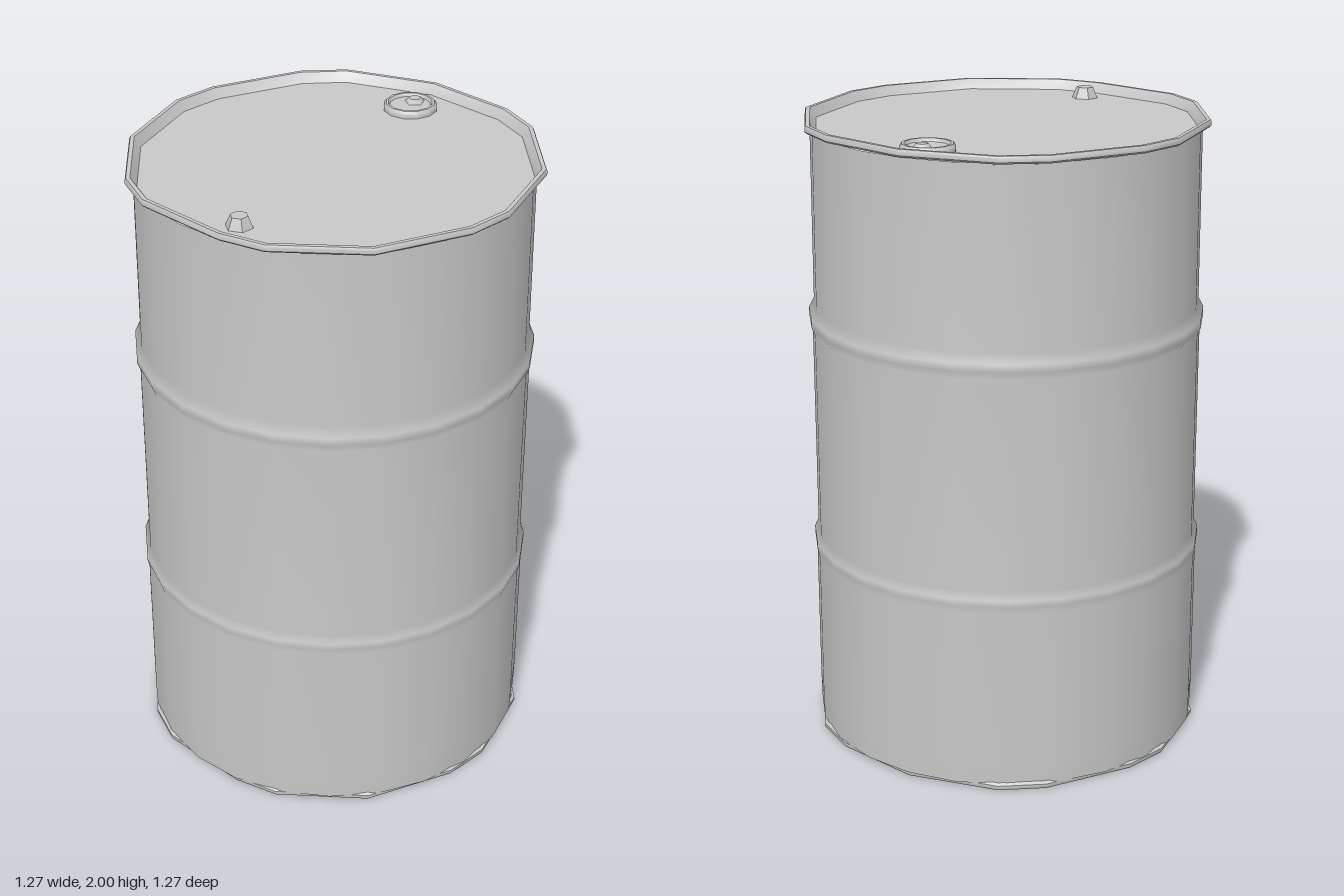
import * as THREE from 'three';
import { toCreasedNormals } from 'three/addons/utils/BufferGeometryUtils.js';

const steel = new THREE.MeshStandardMaterial({ color: 0xc8c8c8 });
steel.name = 'steel';

// Uneven sixteen-sided outline of the rim, as [x, z]
const rimOutline = [
  [0.04, -0.635], [0.19, -0.61], [0.44, -0.44], [0.6, -0.19],
  [0.635, -0.04], [0.58, 0.26], [0.39, 0.5], [0.26, 0.575],
  [-0.04, 0.632], [-0.33, 0.54], [-0.44, 0.44], [-0.61, 0.18],
  [-0.635, 0.03], [-0.575, -0.26], [-0.39, -0.5], [-0.26, -0.575],
];

// Skin through scaled copies of an outline; sections are [scale, y], listed from outside to inside
function loft(outline, sections) {
  const n = outline.length, positions = [], index = [];
  for (const [s, y] of sections) for (const [x, z] of outline) positions.push(x * s, y, z * s);
  for (let r = 0; r < sections.length - 1; r++) {
    for (let i = 0; i < n; i++) {
      const j = (i + 1) % n, a = r * n + i, b = r * n + j;
      index.push(a, a + n, b, b, a + n, b + n);
    }
  }
  const g = new THREE.BufferGeometry();
  g.setAttribute('position', new THREE.Float32BufferAttribute(positions, 3));
  g.setIndex(index);
  return toCreasedNormals(g, 0.6);
}

function lathe(points, segments) {
  return new THREE.LatheGeometry(points.map(([r, y]) => new THREE.Vector2(r, y)), segments);
}

export function createModel() {
  const drum = new THREE.Group();
  drum.name = 'drum';
  const add = (name, geometry, x = 0, y = 0, z = 0) => {
    const mesh = new THREE.Mesh(geometry, steel);
    mesh.name = name;
    mesh.position.set(x, y, z);
    drum.add(mesh);
    return mesh;
  };

  // Side wall with two rolled ribs
  add('wall', lathe([
    [0.618, 0.015], [0.62, 0.1], [0.62, 0.59], [0.626, 0.615], [0.626, 0.635], [0.614, 0.66],
    [0.614, 1.33], [0.624, 1.355], [0.624, 1.38], [0.608, 1.41], [0.606, 1.97],
  ], 24));

  // Top rim, its inner wall and the sunken lid
  add('topRim', loft(rimOutline, [
    [0.955, 1.97], [0.99, 1.972], [1, 1.978], [1, 1.99], [0.995, 1.996],
    [0.975, 1.996], [0.968, 1.99], [0.945, 1.965],
  ]));
  add('lid', loft(rimOutline, [[0.95, 1.965], [0, 1.965]]));

  // Bottom rim and base
  add('bottomRim', loft(rimOutline, [
    [0.955, 0.004], [0.96, 0], [0.98, 0], [0.985, 0.005], [0.985, 0.015], [0.97, 0.022],
  ]));
  const base = add('base', new THREE.CircleGeometry(0.615, 16), 0, 0.004, 0);
  base.rotation.x = Math.PI / 2;

  // Large bung: raised collar, sunken cap and a small grip
  add('bungCollar', toCreasedNormals(lathe([
    [0.085, 0], [0.085, 0.012], [0.078, 0.022], [0.07, 0.022], [0.065, 0.012], [0, 0.012],
  ], 12), 0.6), 0.325, 1.965, -0.33);
  const grip = add('bungGrip', new THREE.CylinderGeometry(0.02, 0.032, 0.014, 5), 0.345, 1.984, -0.35);
  grip.rotation.y = 0.4;

  // Small vent plug
  add('ventPlug', toCreasedNormals(new THREE.CylinderGeometry(0.027, 0.042, 0.035, 6), 0.5), -0.36, 1.9825, 0.35);

  return drum;
}
